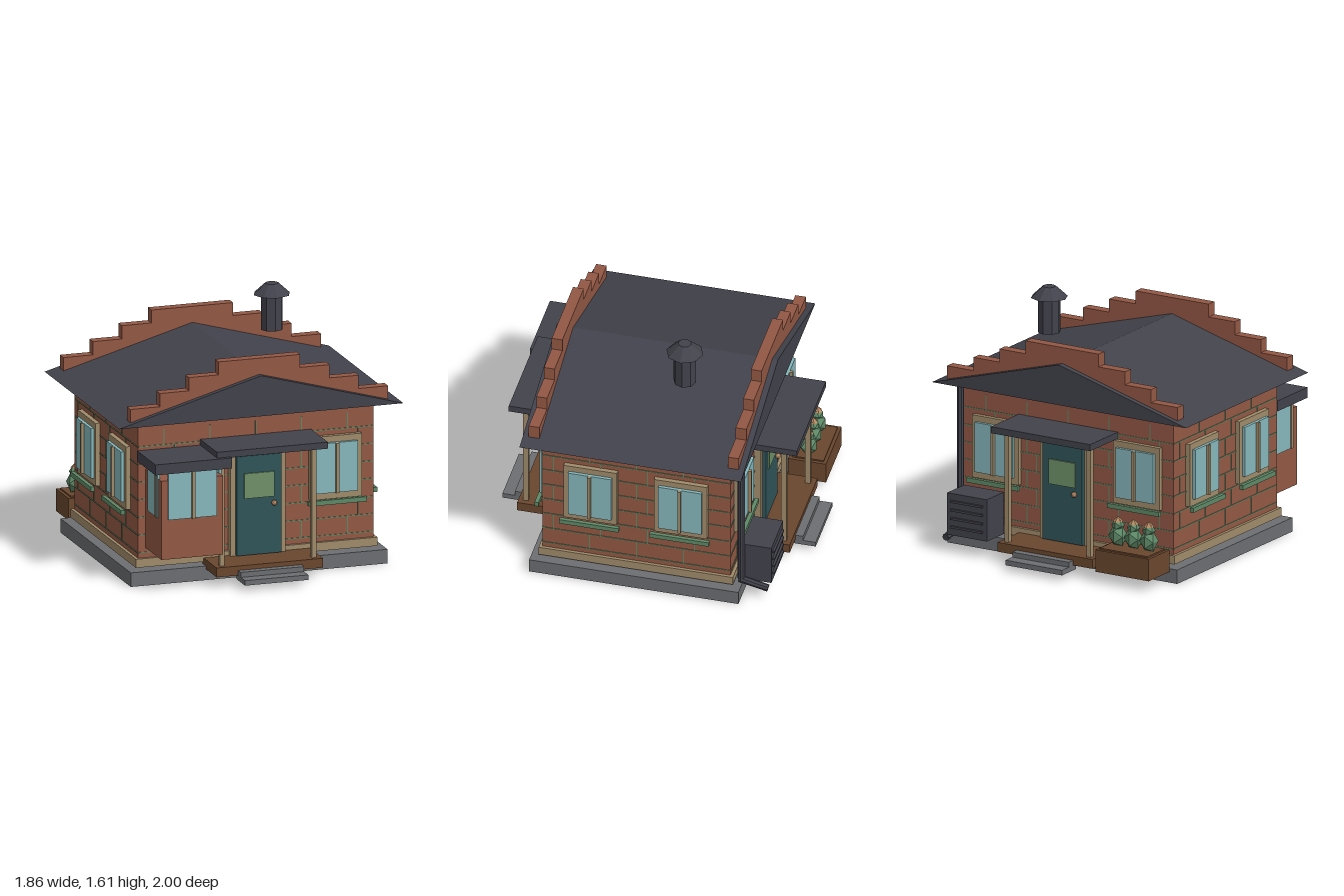
import * as THREE from 'three';

const mat = (name, color) => {
  const m = new THREE.MeshStandardMaterial({ color, flatShading: true });
  m.name = name;
  return m;
};

export function createModel() {
  const brick = mat('brick', 0x935844), slate = mat('slate', 0x42424c), stone = mat('stone', 0x6c6e71),
    trim = mat('trim', 0xa08c6b), glass = mat('glass', 0x86b8bd), teal = mat('teal', 0x30555a),
    pane = mat('greenPane', 0x6f9168), sage = mat('sage', 0x5f8a68), wood = mat('wood', 0x6a472e),
    copper = mat('copper', 0xb58a63);
  const house = new THREE.Group();
  house.name = 'house';

  const add = (parent, name, geo, m, x = 0, y = 0, z = 0) => {
    const o = new THREE.Mesh(geo, m);
    o.name = name;
    o.position.set(x, y, z);
    parent.add(o);
    return o;
  };
  // box given by its limits on each axis
  const box = (parent, name, m, x0, x1, y0, y1, z0, z1) =>
    add(parent, name, new THREE.BoxGeometry(x1 - x0, y1 - y0, z1 - z0), m,
      (x0 + x1) / 2, (y0 + y1) / 2, (z0 + z1) / 2);
  const group = (name, turn = 0) => {
    const g = new THREE.Group();
    g.name = name;
    g.rotation.y = turn;
    house.add(g);
    return g;
  };
  const extrude = (name, pts, z0, z1, m) => {
    const shape = new THREE.Shape(pts.map(p => new THREE.Vector2(...p)));
    add(house, name, new THREE.ExtrudeGeometry(shape, { depth: z1 - z0, bevelEnabled: false }), m, 0, 0, z0);
  };

  // Foundation, walls and base trim
  box(house, 'foundation', stone, -0.84, 0.84, 0, 0.09, -0.668, 0.668);
  box(house, 'walls', brick, -0.77, 0.77, 0.105, 1.04, -0.6, 0.6);
  box(house, 'baseTrim', trim, -0.79, 0.79, 0.105, 0.16, -0.62, 0.62);

  // Gable roof and stepped parapets
  extrude('roof', [[-0.93, 1.03], [0.93, 1.03], [0, 1.29]], -0.707, 0.707, slate);
  const steps = [[0.843, 1.14], [0.65, 1.225], [0.46, 1.31], [0.267, 1.393]];
  const right = [[0.843, 1.052]];
  steps.forEach(([x, y], i) => {
    right.push([x, y]);
    if (i < 3) right.push([steps[i + 1][0], y]);
  });
  const outline = [...right, ...right.map(([x, y]) => [-x, y]).reverse()];
  extrude('frontParapet', outline, 0.602, 0.67, brick);
  extrude('backParapet', outline, -0.67, -0.602, brick);

  // Chimney with a conical cap
  add(house, 'chimney', new THREE.CylinderGeometry(0.071, 0.071, 0.23, 8), slate, 0.385, 1.432, -0.21);
  add(house, 'chimneyCap', new THREE.CylinderGeometry(0.042, 0.117, 0.07, 8), slate, 0.385, 1.577, -0.21);

  // Raised mortar joints on a wall facing +z at distance d
  const mortar = (g, half, d) => {
    for (let row = 0; row < 7; row++) {
      const y = 0.195 + row * 0.113;
      box(g, 'mortarRow', sage, -half, half, y - 0.003, y + 0.003, d, d + 0.004);
      for (let k = -3; k <= 3; k++) {
        const x = k * 0.3 + (row % 2 ? 0.07 : 0);
        if (Math.abs(x) < half - 0.03)
          box(g, 'mortarJoint', sage, x - 0.003, x + 0.003, y, Math.min(y + 0.113, 0.975), d, d + 0.004);
      }
    }
  };

  // Framed window with sill, facing +z
  const windowAt = (g, x, d) => {
    box(g, 'windowFrame', trim, x - 0.17, x + 0.17, 0.437, 0.84, d, d + 0.03);
    box(g, 'windowGlass', glass, x - 0.138, x + 0.138, 0.48, 0.8, d + 0.03, d + 0.05);
    box(g, 'windowMullion', trim, x - 0.01, x + 0.01, 0.48, 0.8, d + 0.05, d + 0.07);
    box(g, 'windowSill', sage, x - 0.19, x + 0.19, 0.41, 0.44, d + 0.043, d + 0.068);
  };

  // Door with its porch, facing +z
  const entrance = g => {
    box(g, 'doorFrame', trim, -0.18, 0.18, 0.13, 0.82, 0.6, 0.643);
    box(g, 'door', teal, -0.145, 0.145, 0.135, 0.77, 0.643, 0.667);
    box(g, 'doorPane', pane, -0.098, 0.096, 0.5, 0.66, 0.667, 0.676);
    add(g, 'doorKnob', new THREE.IcosahedronGeometry(0.018, 1), copper, 0.094, 0.46, 0.682);
    box(g, 'porchFloor', wood, -0.348, 0.348, 0.07, 0.13, 0.6, 0.87);
    box(g, 'upperStep', stone, -0.207, 0.207, 0.07, 0.102, 0.83, 0.92);
    box(g, 'lowerStep', stone, -0.207, 0.207, 0.038, 0.07, 0.84, 1);
    box(g, 'porchRoof', slate, -0.363, 0.363, 0.845, 0.887, 0.6, 0.92);
    for (const s of [-1, 1])
      box(g, 'porchPost', trim, s * 0.3 - 0.015, s * 0.3 + 0.015, 0.13, 0.845, 0.807, 0.84);
  };

  const front = group('frontSide'), back = group('backSide', Math.PI);
  for (const g of [front, back]) {
    mortar(g, 0.765, 0.6);
    entrance(g);
    windowAt(g, 0.515, 0.6);
  }
  windowAt(back, -0.515, 0.6);
  for (const s of [-1, 1]) {
    const side = group(s > 0 ? 'leftSide' : 'rightSide', s * Math.PI / 2);
    mortar(side, 0.595, 0.77);
    windowAt(side, 0.288, 0.77);
    windowAt(side, -0.288, 0.77);
  }

  // Bay window
  const bay = group('bayWindow');
  box(bay, 'bayBody', brick, -0.722, -0.32, 0.225, 0.73, 0.6, 0.908);
  box(bay, 'bayRoof', slate, -0.775, -0.273, 0.783, 0.85, 0.6, 0.947);
  box(bay, 'bayGlass', glass, -0.68, -0.363, 0.48, 0.78, 0.9, 0.92);
  box(bay, 'bayMullion', trim, -0.531, -0.511, 0.48, 0.783, 0.92, 0.942);
  for (const [x, s] of [[-0.722, -1], [-0.32, 1]]) {
    box(bay, 'baySideGlass', glass, x - 0.008, x + 0.008, 0.48, 0.78, 0.665, 0.855);
    box(bay, 'baySideMullion', trim, x + s * 0.011 - 0.004, x + s * 0.011 + 0.004, 0.48, 0.783, 0.82, 0.84);
  }

  // Downpipe with a kicked-out foot
  const pipe = (name, a, b) => {
    const p = new THREE.Vector3(...a), q = new THREE.Vector3(...b), dir = q.clone().sub(p);
    const mid = p.clone().add(q).multiplyScalar(0.5);
    add(house, name, new THREE.CylinderGeometry(0.023, 0.023, dir.length(), 8), slate, mid.x, mid.y, mid.z)
      .quaternion.setFromUnitVectors(new THREE.Vector3(0, 1, 0), dir.normalize());
  };
  pipe('downpipe', [0.748, 0.13, -0.663], [0.748, 1.035, -0.663]);
  pipe('downpipeFoot', [0.748, 0.13, -0.65], [0.748, 0.088, -0.835]);

  // Cooling unit with slats
  box(house, 'coolingUnit', slate, 0.437, 0.727, 0.115, 0.385, -0.85, -0.65);
  for (let i = 0; i < 4; i++) {
    const y = 0.17 + i * 0.055;
    box(house, 'coolingSlat', slate, 0.467, 0.697, y - 0.007, y + 0.007, -0.864, -0.85);
  }

  // Planter with three succulents
  box(house, 'planter', wood, -0.785, -0.395, 0.07, 0.212, -0.912, -0.67);
  box(house, 'planterSoil', wood, -0.765, -0.415, 0.212, 0.221, -0.892, -0.69);
  for (const x of [-0.703, -0.59, -0.477]) {
    add(house, 'succulent', new THREE.IcosahedronGeometry(0.06, 0), sage, x, 0.285, -0.778).scale.y = 1.25;
    add(house, 'succulentCrown', new THREE.IcosahedronGeometry(0.042, 0), sage, x, 0.35, -0.778);
    add(house, 'succulentFlower', new THREE.ConeGeometry(0.033, 0.035, 6), copper, x, 0.393, -0.778);
  }
  return house;
}
